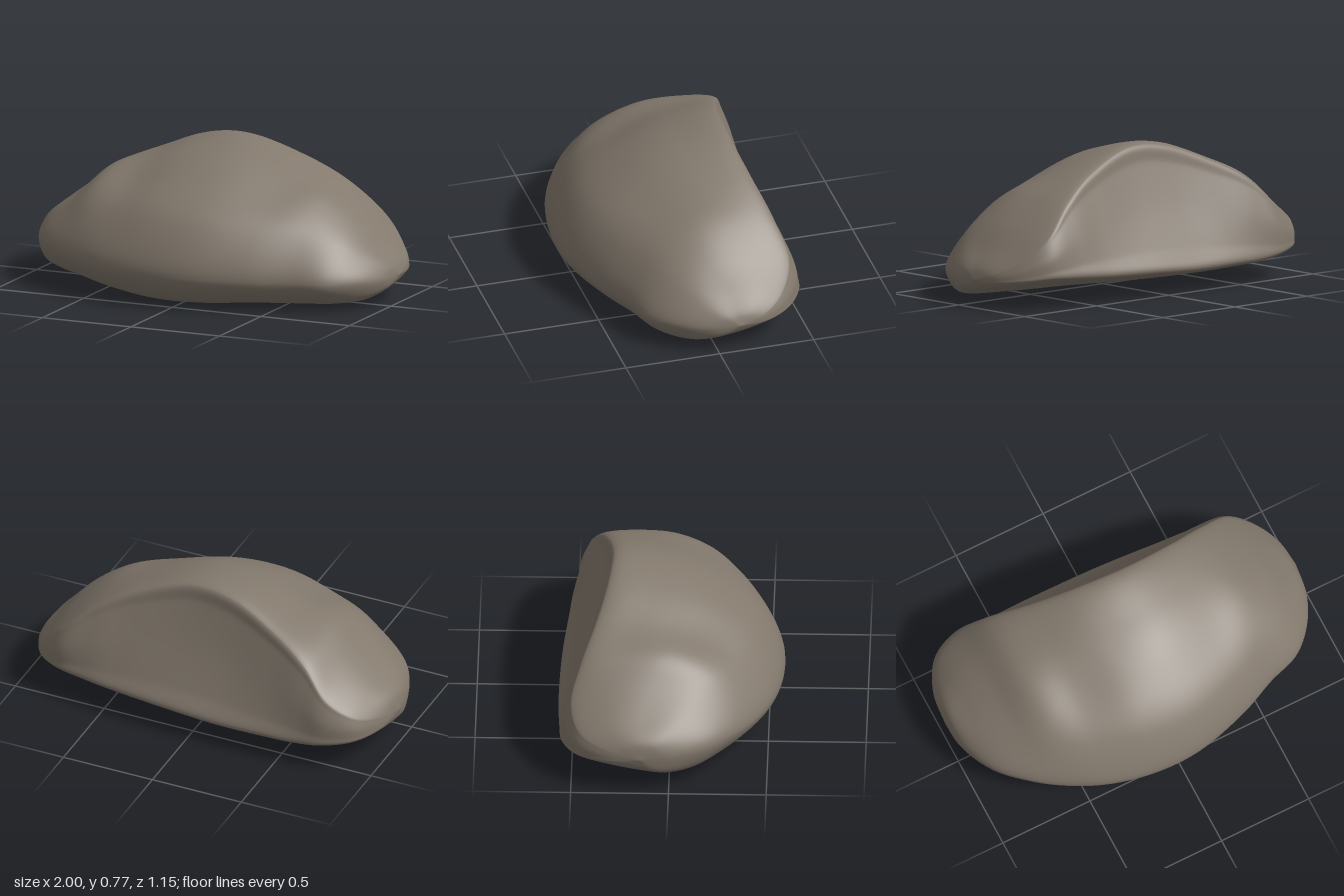
import * as THREE from 'three';
import { mergeVertices } from 'three/addons/utils/BufferGeometryUtils.js';

// Cross-sections from end to end. Each row holds x, then the (z, y) of the
// back lip, the crest, the shoulder and the nose, then the y of the underside.
const SECTIONS = [
  [-1.0, -0.15, 0.2, -0.15, 0.2, -0.15, 0.2, -0.15, 0.2, 0.2],
  [-0.975, -0.33, 0.18, -0.31, 0.24, -0.14, 0.28, 0.01, 0.21, 0.12],
  [-0.89, -0.48, 0.165, -0.45, 0.29, -0.14, 0.355, 0.19, 0.22, 0.08],
  [-0.75, -0.55, 0.145, -0.5, 0.38, -0.1, 0.46, 0.33, 0.22, 0.065],
  [-0.6, -0.565, 0.13, -0.45, 0.53, 0.0, 0.565, 0.43, 0.2, 0.06],
  [-0.4, -0.575, 0.13, -0.38, 0.645, 0.1, 0.58, 0.52, 0.19, 0.035],
  [-0.15, -0.575, 0.13, -0.32, 0.735, 0.2, 0.61, 0.57, 0.18, 0.01],
  [0.1, -0.565, 0.14, -0.3, 0.75, 0.22, 0.6, 0.565, 0.17, 0.01],
  [0.4, -0.54, 0.15, -0.34, 0.65, 0.14, 0.56, 0.48, 0.16, 0.025],
  [0.6, -0.52, 0.16, -0.39, 0.525, 0.04, 0.53, 0.39, 0.16, 0.025],
  [0.78, -0.485, 0.165, -0.43, 0.36, -0.02, 0.41, 0.32, 0.15, 0.03],
  [0.9, -0.4, 0.155, -0.36, 0.25, -0.08, 0.285, 0.2, 0.15, 0.045],
  [0.975, -0.27, 0.145, -0.25, 0.185, -0.1, 0.2, 0.05, 0.14, 0.09],
  [1.0, -0.12, 0.145, -0.12, 0.145, -0.12, 0.145, -0.12, 0.145, 0.145],
];

// Point between a and b, pushed outward by a share of their distance.
function between(a, b, t, bulge = 0) {
  const p = a.clone().lerp(b, t);
  p.z -= (b.y - a.y) * bulge;
  p.y += (b.z - a.z) * bulge;
  return p;
}

// Control points around one section: up the back, over the crest, down the front, underneath.
function sectionPoints([x, zb, yb, zr, yr, zs, ys, zf, yf, yu]) {
  const at = (z, y) => new THREE.Vector3(x, y, z);
  const lip = at(zb, yb), crest = at(zr, yr), shoulder = at(zs, ys), nose = at(zf, yf);
  const under = at(zf - (zf - zb) * 0.16, yu);
  // The back is hollow in the middle and swells towards the ends.
  const swell = 0.2 * x * x - 0.03;
  return [
    lip,
    between(lip, crest, 0.18, swell * 0.5),
    between(lip, crest, 0.5, swell),
    between(lip, crest, 0.85, swell * 0.5),
    crest,
    between(crest, shoulder, 0.5, 0.07),
    shoulder,
    between(shoulder, nose, 0.5, 0.13),
    nose,
    between(nose, under, 0.5, 0.16),
    under,
    between(under, lip, 0.42, 0.045),
    between(under, lip, 0.86, 0.03),
  ];
}

function stoneGeometry(lengthSteps = 104, ringSteps = 104) {
  // Smooth rails run lengthwise through matching control points.
  const sections = SECTIONS.map(sectionPoints);
  const rails = sections[0].map((_, k) => new THREE.CatmullRomCurve3(sections.map((s) => s[k])));
  const positions = [], index = [];
  for (let i = 0; i <= lengthSteps; i++) {
    const ring = new THREE.CatmullRomCurve3(rails.map((r) => r.getPoint(i / lengthSteps)), true);
    for (let j = 0; j < ringSteps; j++) {
      const p = ring.getPoint(j / ringSteps);
      positions.push(p.x, p.y, p.z);
      if (i === lengthSteps) continue;
      const a = i * ringSteps + j, c = i * ringSteps + ((j + 1) % ringSteps);
      const b = a + ringSteps, d = c + ringSteps;
      if (i > 0) index.push(a, c, b);
      if (i < lengthSteps - 1) index.push(b, c, d);
    }
  }
  let geometry = new THREE.BufferGeometry();
  geometry.setAttribute('position', new THREE.Float32BufferAttribute(positions, 3));
  geometry.setIndex(index);
  geometry = mergeVertices(geometry, 1e-5);

  // Shallow weathered undulation.
  const pos = geometry.attributes.position;
  for (let i = 0; i < pos.count; i++) {
    const x = pos.getX(i), y = pos.getY(i), z = pos.getZ(i);
    pos.setY(i, y + 0.004 * Math.sin(9 * x + 4 * z) * Math.sin(7 * z + 1) * Math.min(1, y * 3));
  }

  // Rest on the ground, centred.
  geometry.computeBoundingBox();
  const { min, max } = geometry.boundingBox;
  geometry.translate(-(min.x + max.x) / 2, -min.y, -(min.z + max.z) / 2);
  geometry.computeVertexNormals();
  return geometry;
}

export function createModel() {
  const group = new THREE.Group();
  group.name = 'rock';
  const stone = new THREE.MeshStandardMaterial({ color: 0x83796d });
  stone.name = 'greyBrownStone';
  const boulder = new THREE.Mesh(stoneGeometry(), stone);
  boulder.name = 'boulder';
  group.add(boulder);
  return group;
}
